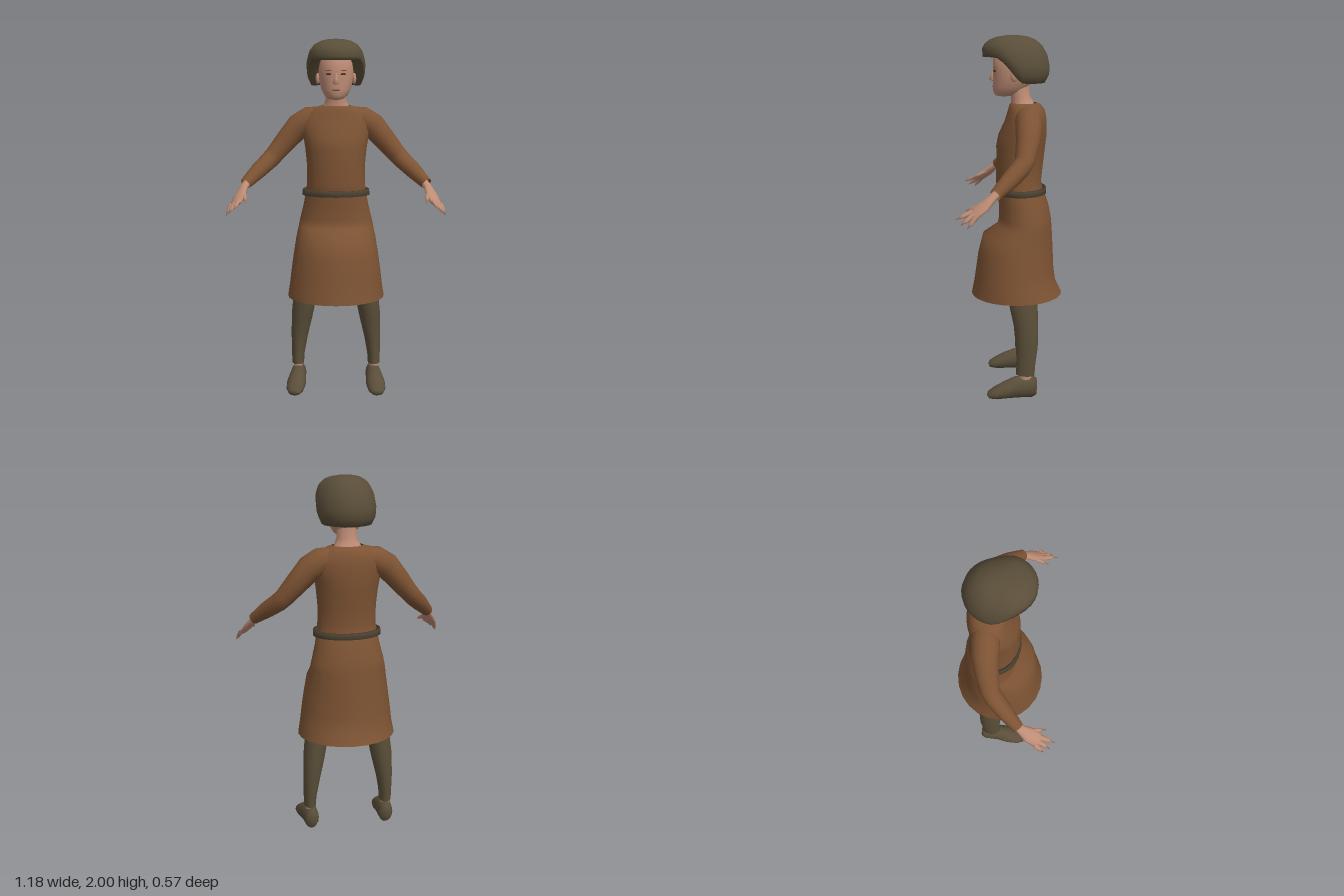
import * as THREE from 'three';
import { mergeVertices } from 'three/addons/utils/BufferGeometryUtils.js';

const V = (x, y, z) => new THREE.Vector3(x, y, z);

// Skin a surface over a list of closed rings.
function loft(rings) {
  const n = rings[0].length, pos = [], idx = [];
  rings.forEach(r => r.forEach(p => pos.push(p.x, p.y, p.z)));
  for (let i = 0; i < rings.length - 1; i++) {
    for (let j = 0; j < n; j++) {
      const a = i * n + j, d = i * n + (j + 1) % n;
      idx.push(a, a + n, d + n, a, d + n, d);
    }
  }
  let g = new THREE.BufferGeometry();
  g.setAttribute('position', new THREE.Float32BufferAttribute(pos, 3));
  g.setIndex(idx);
  g = mergeVertices(g, 1e-5);
  g.computeVertexNormals();
  return g;
}

// Horizontal oval rings from top to bottom: [y, half width, front z, back z].
function body(rows, n = 24) {
  return loft(rows.map(([y, rx, zf, zb]) => Array.from({ length: n }, (_, j) => {
    const a = j / n * Math.PI * 2;
    return V(Math.sin(a) * rx, y, (zf + zb) / 2 + Math.cos(a) * (zf - zb) / 2);
  })));
}

// Oval rings along a path: [x, y, z, radius along "across", other radius].
function limb(path, across = V(1, 0, 0), n = 12) {
  const c = path.map(p => V(p[0], p[1], p[2]));
  return loft(path.map((p, i) => {
    const d = c[Math.min(i + 1, c.length - 1)].clone().sub(c[Math.max(i - 1, 0)]).normalize();
    const u = across.clone().addScaledVector(d, -across.dot(d)).normalize();
    const v = u.clone().cross(d);
    return Array.from({ length: n }, (_, j) => {
      const a = j / n * Math.PI * 2;
      return c[i].clone().addScaledVector(u, Math.cos(a) * p[3])
        .addScaledVector(v, Math.sin(a) * (p[4] ?? p[3]));
    });
  }));
}

export function createModel() {
  const group = new THREE.Group();
  const mat = (name, color, side = THREE.FrontSide) => {
    const m = new THREE.MeshStandardMaterial({ color, side });
    m.name = name;
    return m;
  };
  const tunic = mat('tunic brown', 0x7d5333, THREE.DoubleSide);
  const dark = mat('dark wool', 0x5a4e39, THREE.DoubleSide);
  const leather = mat('belt leather', 0x4d4333);
  const skin = mat('skin', 0xbd8c75, THREE.DoubleSide);
  const eyeMat = mat('eye brown', 0x4c332a);
  const lipMat = mat('lip', 0x8f5f50);
  const add = (name, geo, m, parent = group) => {
    const mesh = new THREE.Mesh(geo, m);
    mesh.name = name;
    parent.add(mesh);
    return mesh;
  };

  // Tunic: chest with round neckline, then the flared skirt
  add('tunicTop', body([
    [1.635, 0.085, 0.0, -0.14], [1.625, 0.12, 0.01, -0.165], [1.595, 0.165, 0.018, -0.185],
    [1.54, 0.195, 0.035, -0.195], [1.46, 0.182, 0.072, -0.195], [1.4, 0.172, 0.083, -0.188],
    [1.3, 0.162, 0.082, -0.176], [1.2, 0.163, 0.086, -0.166], [1.15, 0.17, 0.075, -0.18],
  ]), tunic);
  add('tunicSkirt', body([
    [1.15, 0.17, 0.075, -0.18], [1.08, 0.183, 0.07, -0.205], [1.0, 0.203, 0.068, -0.222],
    [0.955, 0.212, 0.078, -0.226], [0.9, 0.224, 0.16, -0.23], [0.8, 0.24, 0.185, -0.235],
    [0.7, 0.254, 0.2, -0.24], [0.63, 0.262, 0.21, -0.25], [0.558, 0.274, 0.225, -0.285],
  ]), tunic);

  // Belt: a closed band standing slightly off the waist
  add('belt', body([
    [1.17, 0.172, 0.075, -0.178], [1.17, 0.187, 0.09, -0.193], [1.138, 0.19, 0.092, -0.196],
    [1.138, 0.175, 0.077, -0.181], [1.17, 0.172, 0.075, -0.178],
  ], 28), leather);

  // Neck and head
  add('neck', limb([[0, 1.74, -0.045, 0.055, 0.055], [0, 1.67, -0.05, 0.057, 0.052],
    [0, 1.635, -0.06, 0.072, 0.06], [0, 1.58, -0.07, 0.1, 0.07]]), skin);
  const head = new THREE.Group();
  head.name = 'head';
  group.add(head);
  add('face', body([
    [1.95, 0, -0.01, -0.01], [1.93, 0.06, 0.06, -0.08], [1.88, 0.09, 0.097, -0.12],
    [1.82, 0.097, 0.1, -0.13], [1.77, 0.092, 0.1, -0.125], [1.725, 0.08, 0.1, -0.095],
    [1.695, 0.063, 0.098, -0.06], [1.675, 0.038, 0.085, -0.02], [1.668, 0, 0.04, 0.04],
  ]), skin, head);
  add('nose', limb([[0, 1.815, 0.094, 0.006, 0.008], [0, 1.785, 0.1, 0.011, 0.012],
    [0, 1.762, 0.105, 0.019, 0.016], [0, 1.752, 0.1, 0, 0]]), skin, head);
  const oval = (name, m, at, size, turn = 0) => {
    const o = add(name, new THREE.SphereGeometry(1, 12, 8), m, head);
    o.position.set(...at);
    o.scale.set(...size);
    o.rotation.y = turn;
  };
  oval('mouth', lipMat, [0, 1.726, 0.099], [0.024, 0.006, 0.004]);
  for (const s of [1, -1]) {
    oval('eye', eyeMat, [s * 0.04, 1.81, 0.09], [0.016, 0.006, 0.004], s * 0.38);
    oval('eyebrow', lipMat, [s * 0.042, 1.83, 0.088], [0.021, 0.003, 0.003], s * 0.38);
    oval('ear', skin, [s * 0.1, 1.785, -0.015], [0.012, 0.032, 0.02]);
  }

  // Hair: a bowl whose rim is high over the brow and low at the nape
  const profile = [[0, 0], [0.3, 0.025], [0.56, 0.09], [0.78, 0.22], [0.93, 0.42],
    [1, 0.66], [0.98, 0.84], [0.86, 1], [0.6, 0.95]];
  const hair = profile.map(([r, h], i) => Array.from({ length: 32 }, (_, j) => {
    const a = j / 32 * Math.PI * 2, c = Math.cos(a);
    const front = THREE.MathUtils.smoothstep(c, -0.3, 0.65);
    const rim = 1.745 + 0.14 * front;
    const k = i === 7 ? r + 0.13 * front : r;
    return V(Math.sin(a) * 0.162 * k, 2 - (2 - rim) * h, -0.025 + c * 0.184 * k);
  }));
  add('hair', loft(hair), dark, head);

  for (const s of [1, -1]) {
    const side = s > 0 ? 'left' : 'right';
    const flip = path => path.map(([x, ...rest]) => [s * x, ...rest]);

    // Sleeve
    add(side + 'Sleeve', limb(flip([
      [0.09, 1.565, -0.09, 0.066], [0.15, 1.555, -0.093, 0.074], [0.21, 1.52, -0.093, 0.072],
      [0.275, 1.445, -0.085, 0.063], [0.345, 1.362, -0.067, 0.053], [0.375, 1.33, -0.045, 0.051],
      [0.43, 1.28, 0.01, 0.046], [0.497, 1.215, 0.083, 0.032],
    ]), V(0, 0, 1), 14), tunic);

    // Flat hand with pointed fingers
    const hand = new THREE.Group();
    hand.name = side + 'Hand';
    group.add(hand);
    const across = V(-0.85 * s, 0.5, 0.2);
    add('palm', limb(flip([
      [0.475, 1.235, 0.06, 0.022, 0.02], [0.503, 1.2, 0.1, 0.026, 0.02],
      [0.522, 1.16, 0.145, 0.042, 0.018], [0.54, 1.122, 0.195, 0.04, 0.014],
      [0.545, 1.115, 0.205, 0, 0],
    ]), across), skin, hand);
    const fingers = [[[0.565, 1.115, 0.182], [0.59, 1.06, 0.225]],
      [[0.545, 1.122, 0.195], [0.575, 1.075, 0.26]],
      [[0.525, 1.135, 0.2], [0.546, 1.1, 0.286]],
      [[0.503, 1.17, 0.145], [0.482, 1.13, 0.24]]];
    for (const [a, b] of fingers) {
      const mid = a.map((v, i) => v * 0.45 + b[i] * 0.55);
      add('finger', limb(flip([[...a, 0.017, 0.013], [...mid, 0.012, 0.009], [...b, 0, 0]]),
        across, 8), skin, hand);
    }

    // Trouser leg, bare ankle and shoe
    add(side + 'Leg', limb(flip([
      [0.1, 0.95, -0.06, 0.075, 0.08], [0.14, 0.75, -0.06, 0.075, 0.085],
      [0.176, 0.56, -0.063, 0.067, 0.082], [0.196, 0.43, -0.08, 0.061, 0.07],
      [0.212, 0.3, -0.085, 0.047, 0.062], [0.22, 0.2, -0.08, 0.037, 0.053],
      [0.221, 0.14, -0.076, 0.034, 0.053],
    ]), V(1, 0, 0), 14), dark);
    add(side + 'Ankle', limb(flip([[0.221, 0.18, -0.078, 0.026, 0.036],
      [0.221, 0.1, -0.078, 0.026, 0.036]])), skin);
    add(side + 'Shoe', limb(flip([
      [0.214, 0.068, -0.14, 0, 0], [0.214, 0.068, -0.138, 0.03, 0.05],
      [0.217, 0.069, -0.115, 0.042, 0.062], [0.221, 0.068, -0.03, 0.047, 0.062],
      [0.227, 0.053, 0.03, 0.055, 0.049], [0.233, 0.036, 0.09, 0.05, 0.034],
      [0.236, 0.026, 0.128, 0.034, 0.018], [0.237, 0.024, 0.138, 0, 0],
    ]), V(1, 0, 0), 14), dark);
  }
  return group;
}
